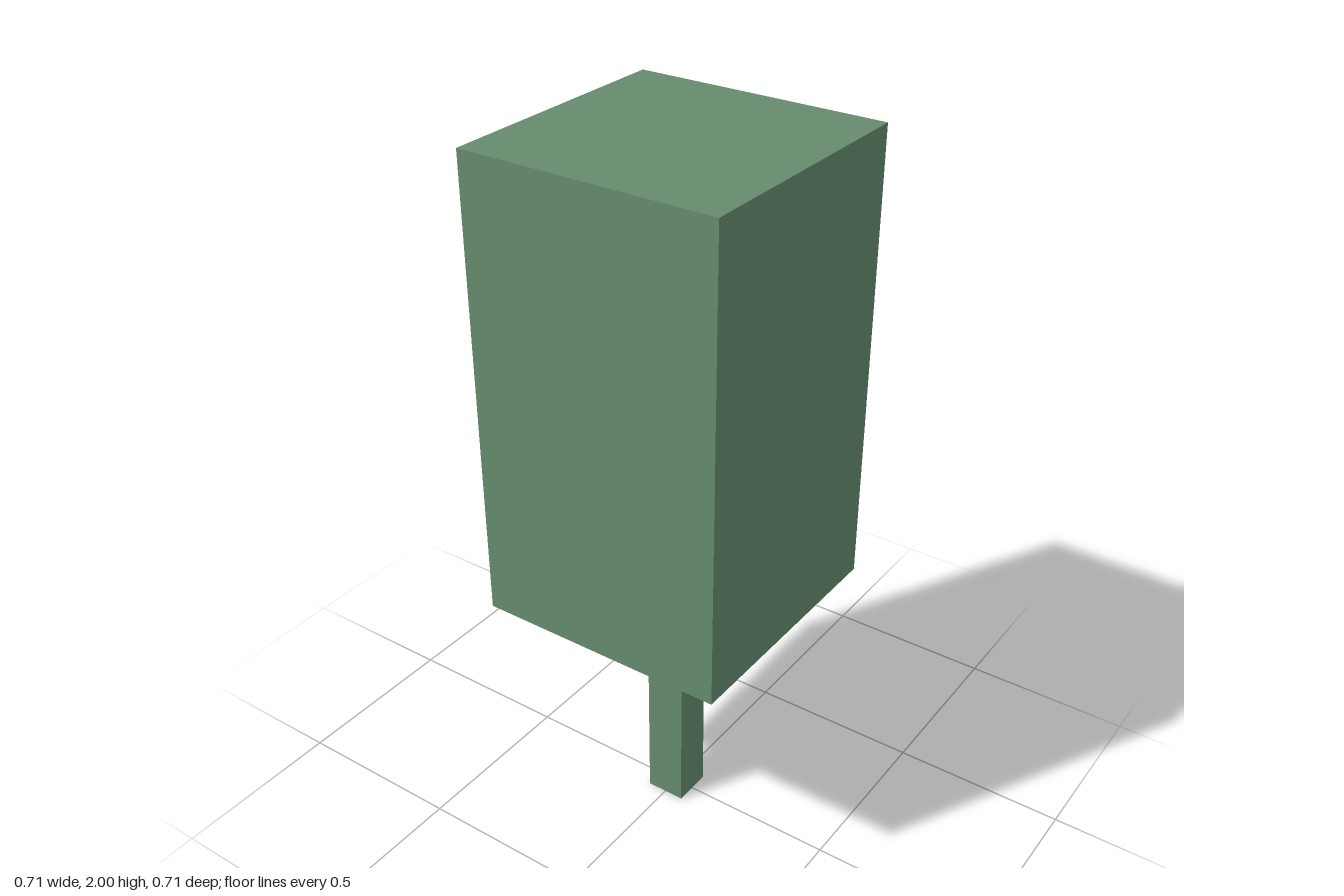
import * as THREE from 'three';

export function createModel() {
  const model = new THREE.Group();
  model.name = 'blockTree';

  const green = new THREE.MeshStandardMaterial({ color: 0x668c6f });
  green.name = 'leaf green';

  // Square block standing between two heights
  function block(name, width, bottom, top) {
    const mesh = new THREE.Mesh(new THREE.BoxGeometry(width, top - bottom, width), green);
    mesh.name = name;
    mesh.position.y = (bottom + top) / 2;
    model.add(mesh);
  }

  block('trunk', 0.114, 0, 0.716);
  block('crown', 0.714, 0.716, 2);

  return model;
}
